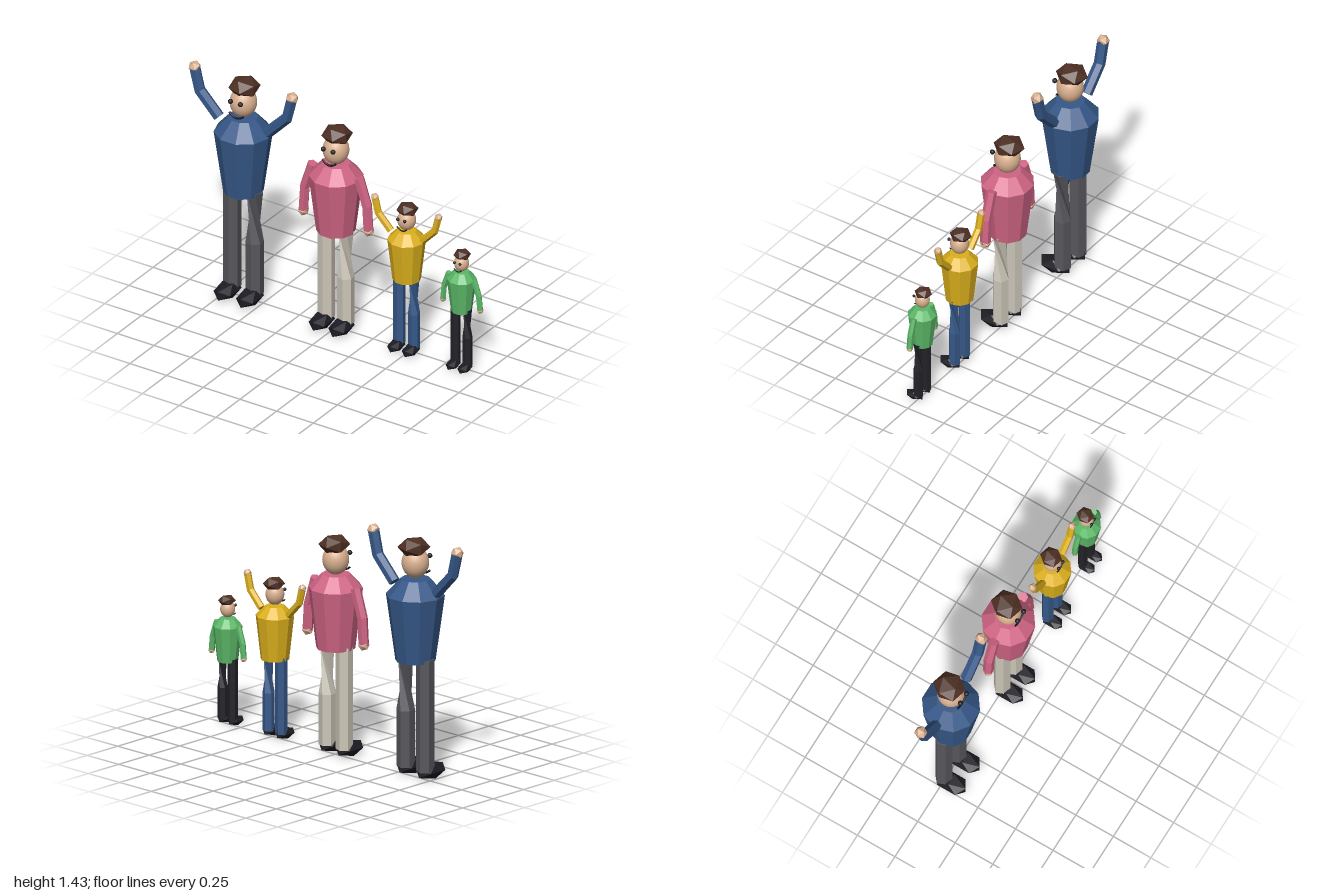
import * as THREE from 'three';

const mat = (name, color) => {
  const m = new THREE.MeshStandardMaterial({ color });
  m.name = name;
  return m;
};

// Faceted normals for low-poly parts
function flat(geometry) {
  const g = geometry.index ? geometry.toNonIndexed() : geometry;
  g.computeVertexNormals();
  return g;
}

// Six-sided limb along a path in the xy plane; the first ring may be twisted
function limbGeometry(path, radius, startAngle = 0, twist = 0, sides = 6) {
  const pts = path.map(([x, y]) => new THREE.Vector3(x, y, 0));
  const pos = [], index = [], last = pts.length - 1;
  pts.forEach((p, i) => {
    const before = p.clone().sub(pts[Math.max(i - 1, 0)]).normalize();
    const after = pts[Math.min(i + 1, last)].clone().sub(p).normalize();
    const t = before.add(after).normalize();
    for (let j = 0; j < sides; j++) {
      const a = startAngle + (i === 0 ? twist : 0) + (j / sides) * Math.PI * 2;
      const c = Math.cos(a) * radius;
      pos.push(p.x - t.y * c, p.y + t.x * c, Math.sin(a) * radius);
    }
  });
  for (let i = 0; i < last; i++) {
    for (let j = 0; j < sides; j++) {
      const a = i * sides + j, b = i * sides + ((j + 1) % sides);
      index.push(a, b, b + sides, a, b + sides, a + sides);
    }
  }
  // End caps
  const end = last * sides;
  for (let j = 1; j < sides - 1; j++) {
    index.push(0, j + 1, j, end, end + j, end + j + 1);
  }
  const g = new THREE.BufferGeometry();
  g.setAttribute('position', new THREE.Float32BufferAttribute(pos, 3));
  g.setIndex(index);
  return flat(g);
}

function createPerson(f, m) {
  const person = new THREE.Group();
  person.name = f.name;
  person.position.x = f.x;
  const add = (name, geometry, material, x = 0, y = 0, z = 0) => {
    const mesh = new THREE.Mesh(geometry, material);
    mesh.name = name;
    mesh.position.set(x, y, z);
    person.add(mesh);
    return mesh;
  };

  // Torso: ten-sided sweater with sloping shoulders
  const profile = [[0, f.hemY], [f.hemR, f.hemY], [f.chestR, f.chestY], [f.neckR, f.neckY], [0, f.neckY]]
    .map(([r, y]) => new THREE.Vector2(r, y));
  add('torso', flat(new THREE.LatheGeometry(profile, 10, Math.PI / 2)), f.shirt);

  // Head, hair and face
  const r = f.headR, hy = f.headY;
  add('head', new THREE.SphereGeometry(r, 24, 16), m.skin, 0, hy, 0).scale.y = 1.15;
  const hair = add('hair', new THREE.IcosahedronGeometry(1, 0), m.hair, 0, hy + 1.2 * r, -0.15 * r);
  hair.scale.set(1.17 * r, 0.75 * r, 1.22 * r);
  hair.geometry.rotateY(1.3);
  const smile = new THREE.QuadraticBezierCurve3(
    new THREE.Vector3(-0.64 * r, -0.62 * r, 0.88 * r),
    new THREE.Vector3(0, -1.28 * r, 0.95 * r),
    new THREE.Vector3(0.64 * r, -0.62 * r, 0.88 * r));
  add('mouth', new THREE.TubeGeometry(smile, 12, 0.08 * r, 6), m.black, 0, hy, 0);

  for (const s of [1, -1]) {
    const side = s > 0 ? 'left' : 'right';
    add(side + 'Eye', new THREE.SphereGeometry(0.19 * r, 10, 8), m.black, s * 0.43 * r, hy + 0.38 * r, 1.05 * r);

    // Arm and hand
    const arm = f.arm.map(([x, y]) => [s * x, y]);
    add(side + 'Arm', limbGeometry(arm, f.armR), f.shirt);
    const hand = add(side + 'Hand', new THREE.IcosahedronGeometry(f.armR * 1.12, 0), m.skin, ...arm[2]);
    hand.rotation.y = Math.PI / 2;

    // Leg and shoe; the left trouser leg twists above the knee
    const L = f.legR;
    const leg = [[0, f.hemY + 0.02], [0, f.kneeY], [0, L]];
    add(side + 'Leg', limbGeometry(leg, L, 0.35, s > 0 ? 2.65 : 0), f.trousers, s * f.legX);
    const shoe = add(side + 'Shoe', new THREE.IcosahedronGeometry(1, 0), m.black, s * f.legX, 0.92 * L, 0.9 * L);
    shoe.scale.set(1.25 * L, 0.98 * L, 2.15 * L);
  }
  return person;
}

export function createModel() {
  const m = {
    skin: mat('skin', 0xd9b08f),
    hair: mat('hair brown', 0x4f3024),
    black: mat('shoe black', 0x1c1c24),
    blue: mat('blue', 0x365888),
    pink: mat('pink', 0xcf6484),
    yellow: mat('yellow', 0xdcb01c),
    green: mat('green', 0x5cb868),
    grey: mat('grey', 0x56565c),
    beige: mat('beige', 0xccc6b8),
    charcoal: mat('charcoal', 0x222228),
  };
  const people = [
    {
      name: 'tallAdult', x: -0.634, shirt: m.blue, trousers: m.grey,
      hemY: 0.7, hemR: 0.116, chestY: 1.09, chestR: 0.17, neckY: 1.185, neckR: 0.085,
      headY: 1.28, headR: 0.079, armR: 0.034, arm: [[0.166, 1.13], [0.297, 1.265], [0.332, 1.405]],
      legX: 0.077, legR: 0.053, kneeY: 0.39,
    },
    {
      name: 'secondAdult', x: -0.003, shirt: m.pink, trousers: m.beige,
      hemY: 0.64, hemR: 0.113, chestY: 1.0, chestR: 0.157, neckY: 1.08, neckR: 0.082,
      headY: 1.165, headR: 0.077, armR: 0.031, arm: [[0.158, 1.025], [0.212, 0.86], [0.222, 0.7]],
      legX: 0.067, legR: 0.05, kneeY: 0.355,
    },
    {
      name: 'olderChild', x: 0.479, shirt: m.yellow, trousers: m.blue,
      hemY: 0.47, hemR: 0.082, chestY: 0.73, chestR: 0.111, neckY: 0.787, neckR: 0.056,
      headY: 0.855, headR: 0.054, armR: 0.022, arm: [[0.107, 0.75], [0.193, 0.84], [0.217, 0.935]],
      legX: 0.05, legR: 0.035, kneeY: 0.26,
    },
    {
      name: 'youngerChild', x: 0.853, shirt: m.green, trousers: m.charcoal,
      hemY: 0.378, hemR: 0.06, chestY: 0.588, chestR: 0.085, neckY: 0.635, neckR: 0.045,
      headY: 0.688, headR: 0.043, armR: 0.018, arm: [[0.085, 0.6], [0.118, 0.505], [0.127, 0.415]],
      legX: 0.04, legR: 0.029, kneeY: 0.215,
    },
  ];
  const group = new THREE.Group();
  group.name = 'family';
  people.forEach((p) => group.add(createPerson(p, m)));
  return group;
}
